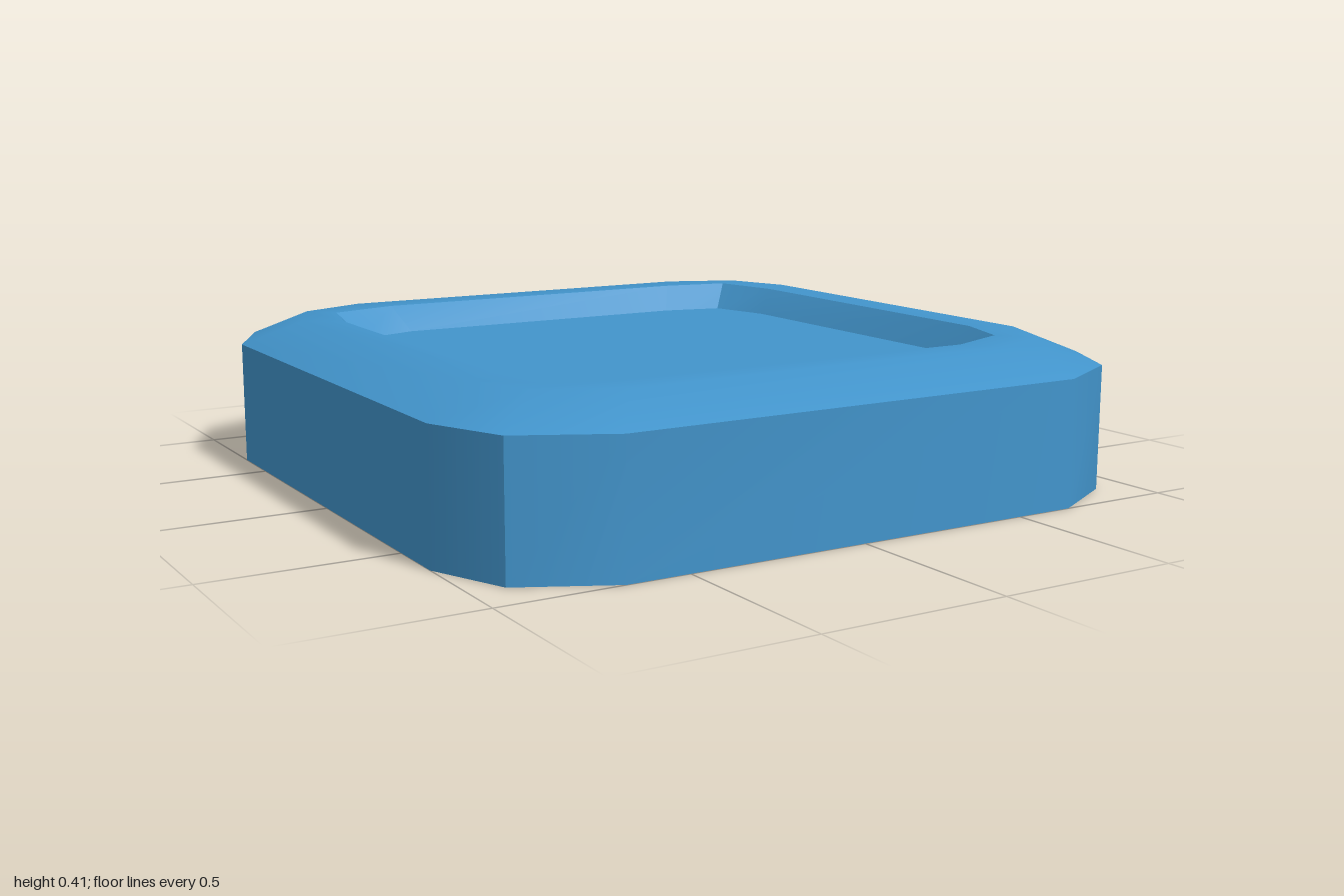
import * as THREE from 'three';
import { toCreasedNormals } from 'three/addons/utils/BufferGeometryUtils.js';

// Twelve-point rounded square at height y: half width, half length of the
// straight side, and one [x, z] point per corner (counter-clockwise from above)
function ring(y, half, side, corners) {
  const points = [];
  corners.forEach(([cx, cz], i) => {
    const sx = Math.sign(cx), sz = Math.sign(cz);
    const onX = [sx * half, y, sz * side];
    const onZ = [sx * side, y, sz * half];
    const corner = [cx, y, cz];
    points.push(...(i % 2 === 0 ? [onX, corner, onZ] : [onZ, corner, onX]));
  });
  return points;
}

// Skin between successive rings
function skin(rings) {
  const out = [];
  for (let r = 0; r + 1 < rings.length; r++) {
    const a = rings[r], b = rings[r + 1], n = a.length;
    for (let i = 0; i < n; i++) {
      const j = (i + 1) % n;
      out.push(...a[i], ...a[j], ...b[j], ...a[i], ...b[j], ...b[i]);
    }
  }
  return out;
}

// Flat fan closing a ring
function cap(points, facesUp) {
  const out = [], centre = [0, points[0][1], 0];
  points.forEach((p, i) => {
    const q = points[(i + 1) % points.length];
    out.push(...centre, ...(facesUp ? p : q), ...(facesUp ? q : p));
  });
  return out;
}

function makeMesh(name, positions, material) {
  const geometry = new THREE.BufferGeometry();
  geometry.setAttribute('position', new THREE.Float32BufferAttribute(positions, 3));
  const mesh = new THREE.Mesh(toCreasedNormals(geometry, THREE.MathUtils.degToRad(35)), material);
  mesh.name = name;
  return mesh;
}

export function createModel() {
  const group = new THREE.Group();
  group.name = 'recessedTile';
  const blue = new THREE.MeshStandardMaterial({ color: 0x4294cb });
  blue.name = 'blue';

  const outer = [[0.9, -0.89], [-0.89, -0.89], [-0.91, 0.88], [0.89, 0.88]];
  const shoulder = outer.map(([x, z]) => [x * 0.86, z * 0.86]);
  const lip = [[0.7, -0.71], [-0.7, -0.69], [-0.71, 0.7], [0.69, 0.67]];
  const floor = [[0.64, -0.65], [-0.64, -0.63], [-0.65, 0.645], [0.63, 0.615]];

  const base = ring(0, 1, 0.67, outer);
  const edge = ring(0.345, 1, 0.67, outer);
  const crest = ring(0.415, 0.85, 0.57, shoulder);
  const rim = ring(0.415, 0.748, 0.5, lip);
  const pan = ring(0.34, 0.69, 0.46, floor);

  // Upright sides, bevelled rim, sloping recess wall, and the two flat faces
  group.add(makeMesh('sideWall', skin([base, edge]), blue));
  group.add(makeMesh('bevelledRim', skin([edge, crest, rim]), blue));
  group.add(makeMesh('recessWall', skin([rim, pan]), blue));
  group.add(makeMesh('recessFloor', cap(pan, true), blue));
  group.add(makeMesh('underside', cap(base, false), blue));
  return group;
}
